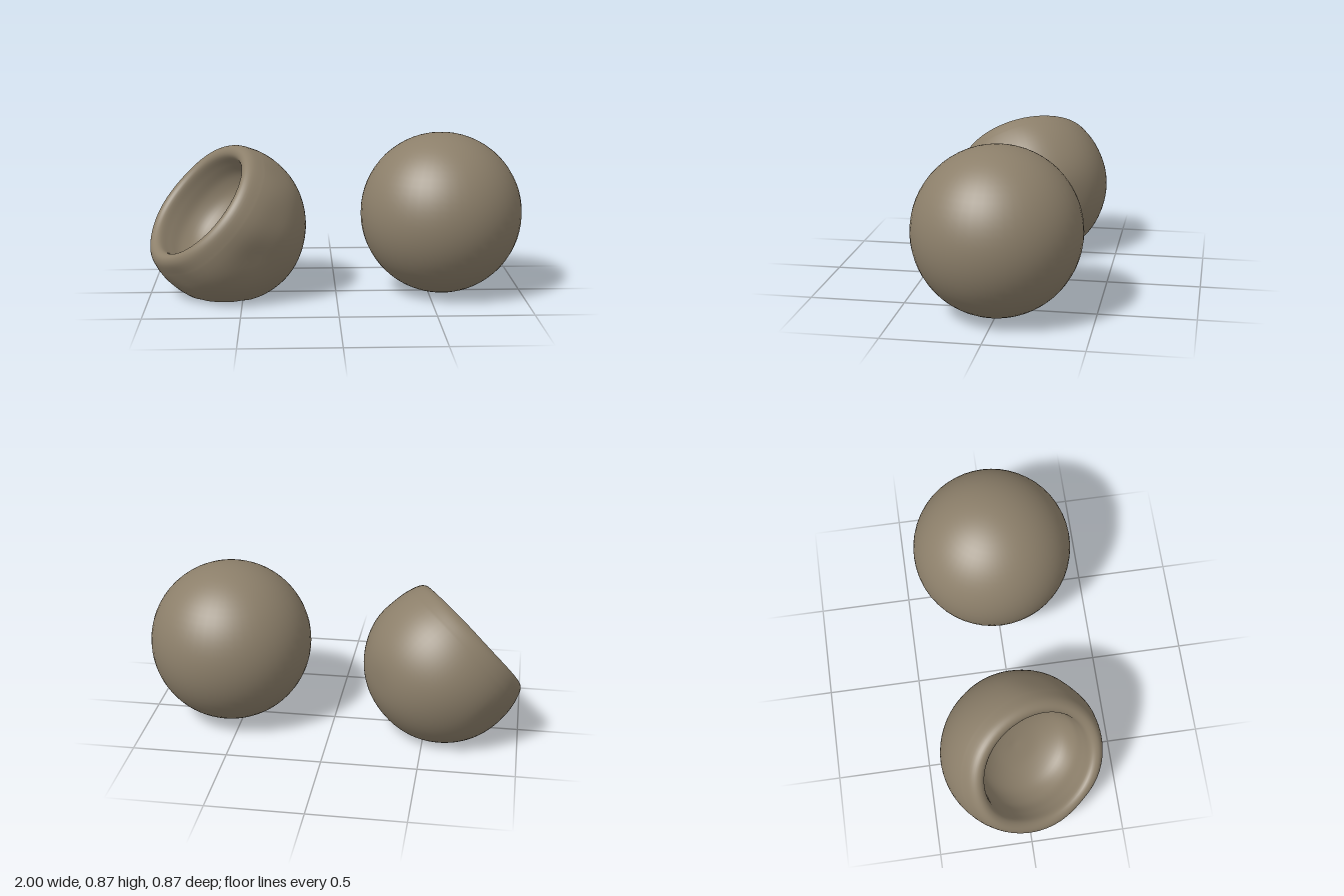
import * as THREE from 'three';
import { mergeVertices } from 'three/addons/utils/BufferGeometryUtils.js';

const V = (x, y, z) => new THREE.Vector3(x, y, z);

// Shallow dents in the skin of the deflated ball: direction, depth, angular width
const DENTS = [
  [V(0.17, -0.1, 0.38), 0.025, 0.3],
  [V(0.33, 0.0, -0.27), 0.012, 0.28],
  [V(0.28, 0.3, 0.1), 0.012, 0.25],
  [V(0.3, 0.1, 0.33), 0.01, 0.25],
  [V(-0.25, -0.25, 0.3), 0.012, 0.25],
  [V(-0.3, -0.2, -0.3), 0.012, 0.25],
];
DENTS.forEach((d) => d[0].normalize());

function deflatedGeometry(centre, openingAxis) {
  // Outer skin, rounded lip, then the caved-in hollow
  const outer = [];
  for (let i = 0; i <= 24; i++) {
    const a = -Math.PI / 2 + (i / 24) * (Math.PI / 2 + 0.28);
    outer.push(new THREE.Vector2(Math.max(0, 0.43 * Math.cos(a)), 0.43 * Math.sin(a)));
  }
  const lip = new THREE.SplineCurve([
    [0.413, 0.119], [0.386, 0.188], [0.35, 0.214], [0.313, 0.195], [0.3, 0.13],
    [0.285, 0.05], [0.235, -0.025], [0.13, -0.075], [0, -0.09],
  ].map(([r, h]) => new THREE.Vector2(r, h))).getPoints(40);
  lip.forEach((p) => { p.x = Math.max(0, p.x); });
  lip[lip.length - 1].x = 0;

  let geo = new THREE.LatheGeometry([...outer, ...lip.slice(1)], 72);
  geo.deleteAttribute('uv');
  geo.deleteAttribute('normal');
  geo = mergeVertices(geo, 1e-4);
  geo.applyQuaternion(new THREE.Quaternion().setFromUnitVectors(V(0, 1, 0), openingAxis));

  const pos = geo.attributes.position;
  const p = V(0, 0, 0);
  for (let i = 0; i < pos.count; i++) {
    p.fromBufferAttribute(pos, i);
    const len = p.length();
    const dir = p.clone().normalize();
    // Dents fade out inside the hollow
    const skin = THREE.MathUtils.smoothstep(len, 0.37, 0.42);
    let push = 0.004 * Math.sin(9 * p.x + 2) * Math.sin(11 * p.y + 1) * Math.sin(10 * p.z + 0.8);
    for (const [d, depth, width] of DENTS) {
      const angle = dir.angleTo(d);
      push -= skin * depth * Math.exp(-((angle / width) ** 2));
    }
    p.addScaledVector(dir, push).add(centre);
    // Flattened base, pressed inward at its middle
    if (skin > 0.5 && p.y < 0.04) {
      const rho = Math.hypot(p.x - centre.x, p.z - centre.z);
      const t = Math.max(0, 1 - (rho / 0.21) ** 2);
      p.y = Math.max(p.y, 0.003) + 0.05 * t * t;
    }
    pos.setXYZ(i, p.x, p.y, p.z);
  }
  geo.computeVertexNormals();
  return geo;
}

export function createModel() {
  const group = new THREE.Group();
  const skin = new THREE.MeshStandardMaterial({ color: 0x8c7f6a });
  skin.name = 'dull tan';

  // Full round ball
  const ball = new THREE.Mesh(new THREE.SphereGeometry(0.433, 48, 32), skin);
  ball.name = 'inflatedBall';
  ball.position.set(0.567, 0.437, 0);

  // Collapsed ball with a deep hollow
  const axis = V(-0.68, 0.64, 0.35).normalize();
  const flat = new THREE.Mesh(deflatedGeometry(V(-0.59, 0.38, 0), axis), skin);
  flat.name = 'deflatedBall';

  group.add(ball, flat);
  return group;
}
